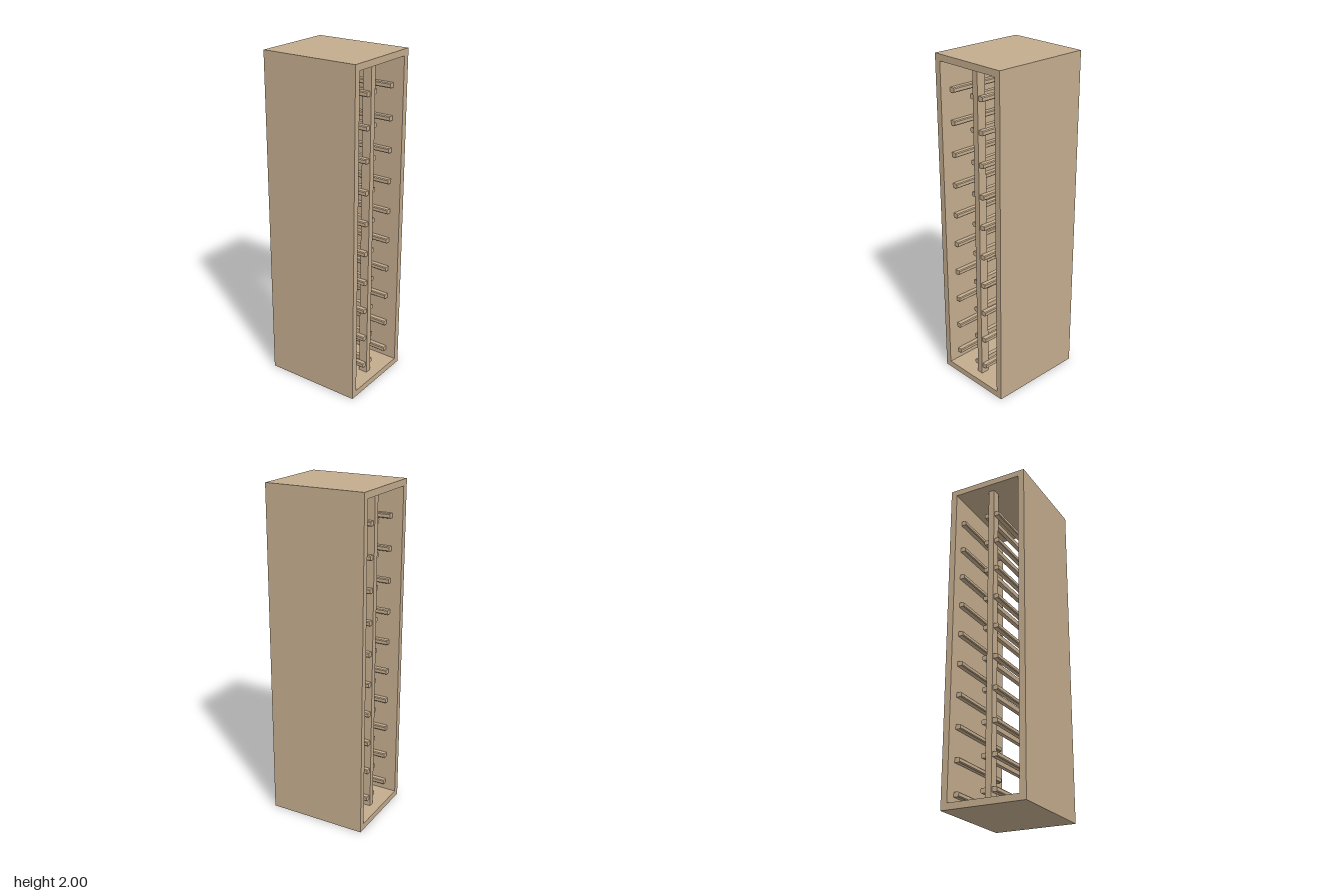
import * as THREE from 'three';

const W = 0.5, H = 2, D = 0.6, T = 0.038; // case size and board thickness
const POST_W = 0.037, POST_D = 0.055, POST_Z = 0.215;
const RAIL_W = 0.031, RAIL_H = 0.028, RAIL_L = 0.47, CHAMFER = 0.005;
const ROWS = 10, FIRST_Y = 0.096, STEP = 0.1886;

function extrudeCentred(shape, depth) {
  return new THREE.ExtrudeGeometry(shape, { depth, bevelEnabled: false }).translate(0, 0, -depth / 2);
}

function rect(PathType, x0, y0, x1, y1) {
  return new PathType([
    new THREE.Vector2(x0, y0), new THREE.Vector2(x1, y0),
    new THREE.Vector2(x1, y1), new THREE.Vector2(x0, y1),
  ]);
}

// Rail profile: flat where it is fixed (x = 0), eased on its free edge
function railGeometry(side) {
  const h = RAIL_H / 2, c = CHAMFER, s = side;
  const shape = new THREE.Shape([
    new THREE.Vector2(0, -h), new THREE.Vector2(s * (RAIL_W - c), -h),
    new THREE.Vector2(s * RAIL_W, -h + c), new THREE.Vector2(s * RAIL_W, h - c),
    new THREE.Vector2(s * (RAIL_W - c), h), new THREE.Vector2(0, h),
  ]);
  return extrudeCentred(shape, RAIL_L);
}

export function createModel() {
  const group = new THREE.Group();
  group.name = 'trayRack';
  const wood = new THREE.MeshStandardMaterial({ color: 0xc3ac8e });
  wood.name = 'lightWood';

  const add = (name, geometry, x, y, z) => {
    const mesh = new THREE.Mesh(geometry, wood);
    mesh.name = name;
    mesh.position.set(x, y, z);
    group.add(mesh);
  };

  // Case: a tall box open at front and back
  const outline = rect(THREE.Shape, -W / 2, 0, W / 2, H);
  outline.holes.push(rect(THREE.Path, -W / 2 + T, T, W / 2 - T, H - T));
  add('case', extrudeCentred(outline, D), 0, 0, 0);

  // Centre posts, one near each opening
  const post = new THREE.BoxGeometry(POST_W, H - 2 * T, POST_D);
  add('frontPost', post, 0, H / 2, POST_Z);
  add('backPost', post, 0, H / 2, -POST_Z);

  // Rails on the side walls and on both sides of the posts
  const toLeft = railGeometry(1), toRight = railGeometry(-1);
  for (let i = 0; i < ROWS; i++) {
    const y = FIRST_Y + i * STEP;
    add('rightWallRail', toLeft, -W / 2 + T, y, 0);
    add('leftWallRail', toRight, W / 2 - T, y, 0);
    add('rightPostRail', toRight, -POST_W / 2, y, 0);
    add('leftPostRail', toLeft, POST_W / 2, y, 0);
  }
  return group;
}
